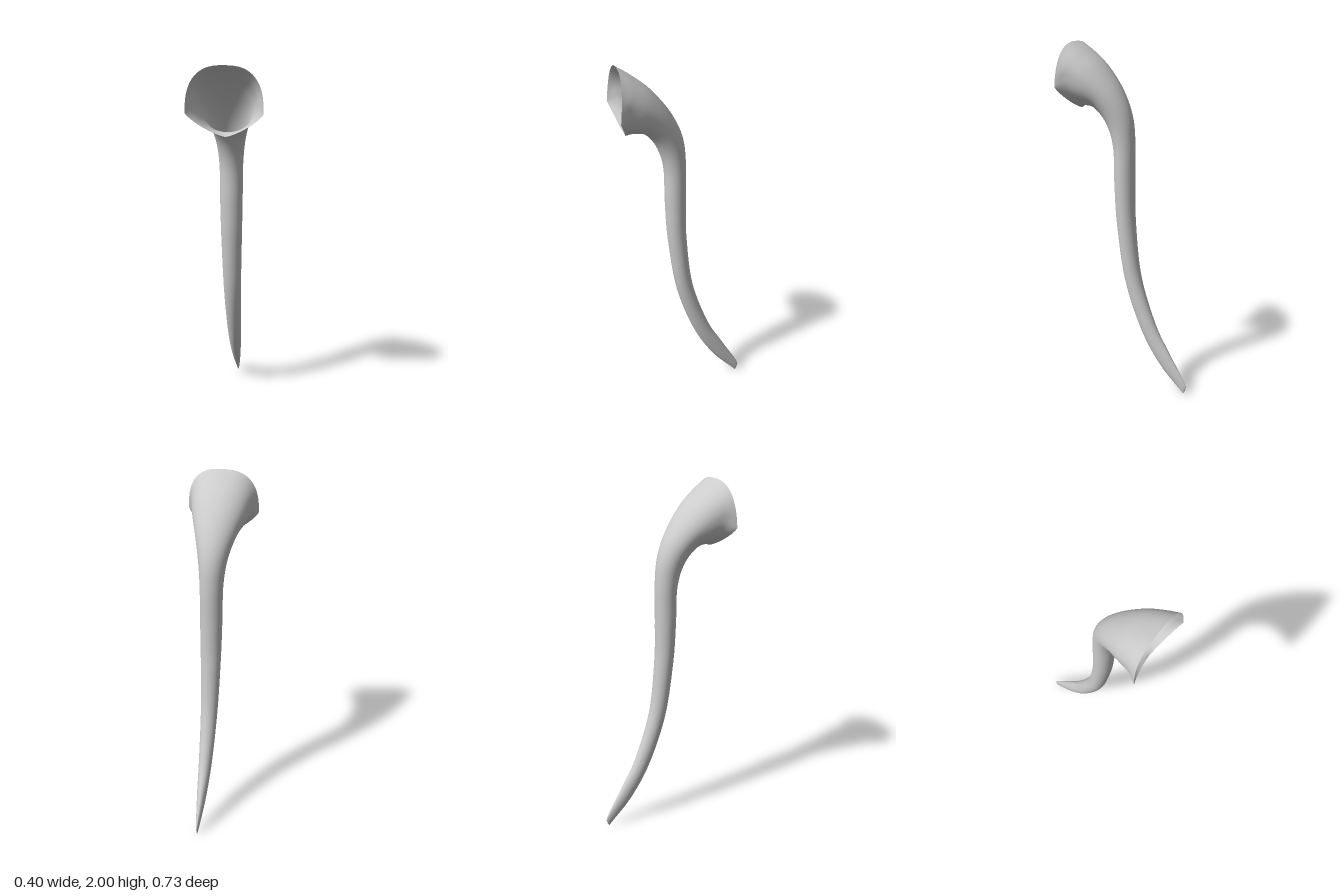
import * as THREE from 'three';

// Cross-sections from tip to mouth:
// front [z, y], side [z, y], back [z, y], half width, roundness of back and front halves
const SECTIONS = [
  { f: [-0.35, 0.0], s: [-0.357, 0.01], b: [-0.362, 0.02], w: 0.002, n: [2, 2] },
  { f: [-0.325, 0.025], s: [-0.341, 0.045], b: [-0.358, 0.065], w: 0.009, n: [2, 2] },
  { f: [-0.2, 0.155], s: [-0.23, 0.19], b: [-0.26, 0.225], w: 0.027, n: [2, 2] },
  { f: [-0.08, 0.35], s: [-0.122, 0.37], b: [-0.165, 0.39], w: 0.039, n: [2, 2] },
  { f: [0.025, 0.64], s: [-0.021, 0.655], b: [-0.068, 0.67], w: 0.049, n: [2, 2] },
  { f: [0.077, 0.97], s: [0.023, 0.975], b: [-0.03, 0.98], w: 0.058, n: [2, 2] },
  { f: [0.093, 1.21], s: [0.034, 1.21], b: [-0.025, 1.21], w: 0.063, n: [2, 2] },
  { f: [0.1, 1.42], s: [0.038, 1.43], b: [-0.025, 1.44], w: 0.066, n: [2, 2] },
  { f: [0.14, 1.55], s: [0.068, 1.575], b: [-0.005, 1.6], w: 0.082, n: [2, 2] },
  { f: [0.205, 1.63], s: [0.135, 1.69], b: [0.06, 1.74], w: 0.114, n: [2, 2] },
  { f: [0.267, 1.645], s: [0.225, 1.77], b: [0.165, 1.87], w: 0.151, n: [2.1, 2] },
  { f: [0.295, 1.642], s: [0.31, 1.81], b: [0.265, 1.95], w: 0.176, n: [2.3, 1.9] },
  { f: [0.31, 1.63], s: [0.365, 1.76], b: [0.345, 2.0], w: 0.202, n: [2.6, 1.3] },
];

// Smooth curve through one property of all sections
const track = (pick) => new THREE.CatmullRomCurve3(
  SECTIONS.map((s) => new THREE.Vector3(...pick(s))), false, 'catmullrom', 0.5);

function hornGeometry(rings = 120, sides = 64) {
  const front = track((s) => [s.w, s.f[1], s.f[0]]);
  const side = track((s) => [s.n[0], s.s[1], s.s[0]]);
  const back = track((s) => [s.n[1], s.b[1], s.b[0]]);
  const pos = [], index = [];
  for (let k = 0; k <= rings; k++) {
    const t = k / rings;
    const f = front.getPoint(t), m = side.getPoint(t), b = back.getPoint(t);
    for (let i = 0; i < sides; i++) {
      const a = (i / sides) * Math.PI * 2;
      const c = Math.cos(a), s = Math.sin(a);
      const end = c > 0 ? b : f;
      const power = 2 / (c > 0 ? m.x : b.x);
      const u = Math.abs(c) ** power;
      pos.push(
        f.x * Math.sign(s) * Math.abs(s) ** power,
        m.y + (end.y - m.y) * u,
        m.z + (end.z - m.z) * u,
      );
      if (k < rings) {
        const p = k * sides + i, q = k * sides + (i + 1) % sides;
        index.push(p, p + sides, q, q, p + sides, q + sides);
      }
    }
  }
  // Close the tip
  const tip = SECTIONS[0].s;
  pos.push(0, tip[1], tip[0]);
  const pole = pos.length / 3 - 1;
  for (let i = 0; i < sides; i++) index.push(pole, i, (i + 1) % sides);

  const geo = new THREE.BufferGeometry();
  geo.setAttribute('position', new THREE.Float32BufferAttribute(pos, 3));
  geo.setIndex(index);
  geo.computeVertexNormals();
  return geo;
}

export function createModel() {
  const group = new THREE.Group();
  group.name = 'curvedHorn';
  // Open shell: tapering stem that bends forward into a flared mouth
  const horn = new THREE.Mesh(
    hornGeometry(),
    new THREE.MeshStandardMaterial({ color: 0xcccccc, side: THREE.DoubleSide }),
  );
  horn.name = 'hornShell';
  group.add(horn);
  return group;
}
